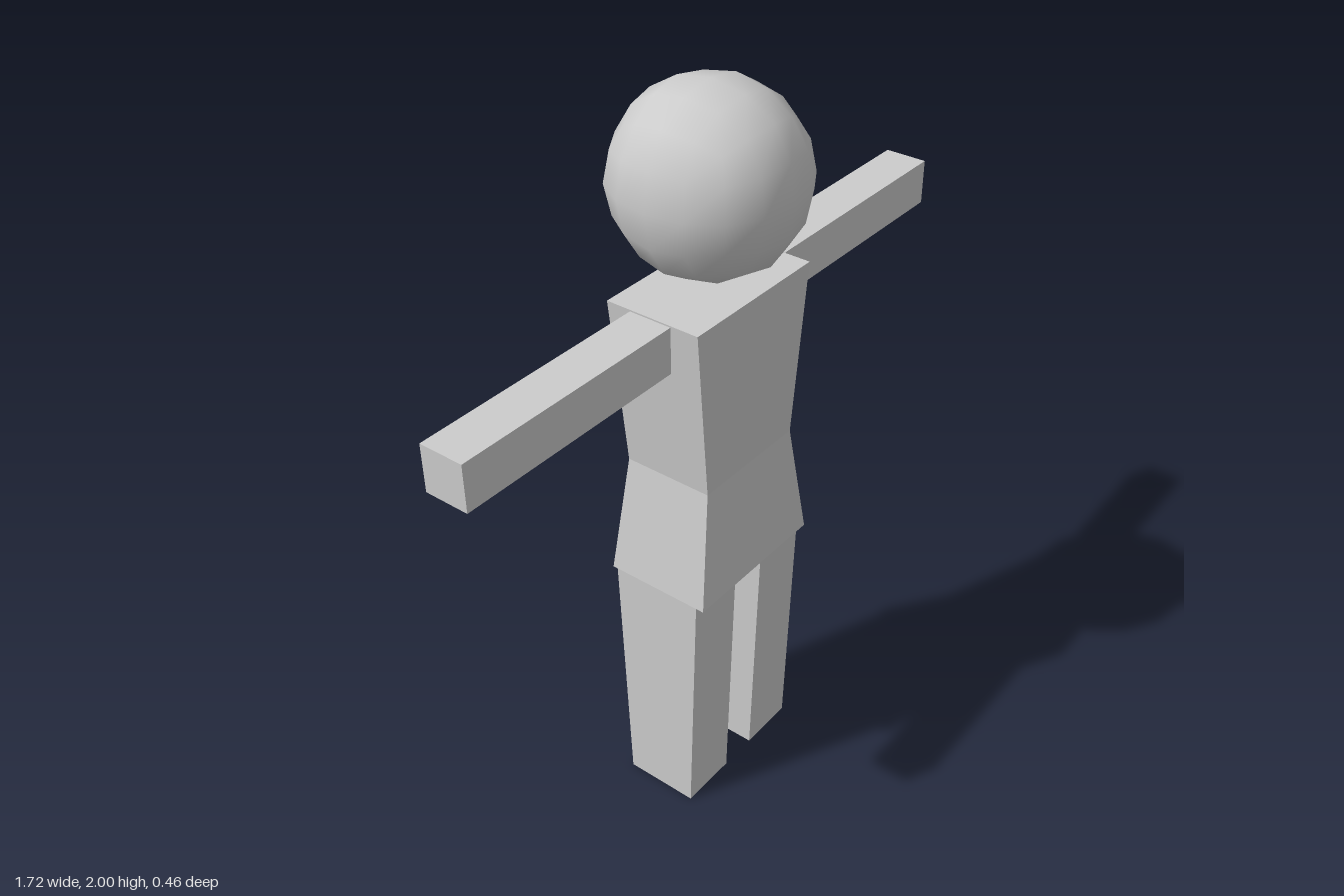
import * as THREE from 'three';
import { mergeVertices } from 'three/addons/utils/BufferGeometryUtils.js';

const grey = new THREE.MeshStandardMaterial({ color: 0xcccccc });
const greyFlat = new THREE.MeshStandardMaterial({ color: 0xcccccc, flatShading: true });

function addMesh(parent, name, geometry, material = greyFlat) {
  const mesh = new THREE.Mesh(geometry, material);
  mesh.name = name;
  parent.add(mesh);
  return mesh;
}

// Box whose bottom and top rectangles differ: each is { y, x: half-width, z: half-depth }
function taperedBox(bottom, top) {
  const geometry = new THREE.BoxGeometry(2, 2, 2);
  const p = geometry.attributes.position;
  for (let i = 0; i < p.count; i++) {
    const s = p.getY(i) > 0 ? top : bottom;
    p.setXYZ(i, p.getX(i) * s.x, s.y, p.getZ(i) * s.z);
  }
  geometry.computeVertexNormals();
  return geometry;
}

// Cube smoothed by two subdivision steps. A grid point is classed by how many of its
// coordinates lie on the cube's boundary (full) and how many lie halfway (half).
function smoothedCube(radius) {
  const rules = {
    '1,0': [0.8785, 0], '1,1': [0.8194, 0.3507], '1,2': [0.7639, 0.3264],
    '2,0': [0.643, 0], '2,1': [0.599, 0.302], '3,0': [0.509, 0],
  };
  let geometry = new THREE.BoxGeometry(2, 2, 2, 4, 4, 4);
  geometry.deleteAttribute('uv');
  geometry.deleteAttribute('normal');
  geometry = mergeVertices(geometry);
  const p = geometry.attributes.position;
  for (let i = 0; i < p.count; i++) {
    const c = [p.getX(i), p.getY(i), p.getZ(i)];
    const isFull = (v) => Math.abs(v) > 0.9;
    const isHalf = (v) => Math.abs(v) > 0.4 && !isFull(v);
    const [full, half] = rules[`${c.filter(isFull).length},${c.filter(isHalf).length}`];
    const k = radius / 0.8785;
    p.setXYZ(i, ...c.map((v) => Math.sign(v) * k * (isFull(v) ? full : isHalf(v) ? half : 0)));
  }
  geometry.computeVertexNormals();
  return geometry;
}

export function createModel() {
  const model = new THREE.Group();
  model.name = 'figure';

  // Head floats just above the shoulders
  addMesh(model, 'head', smoothedCube(0.23), grey).position.y = 1.77;

  // Chest and hips meet at a narrow waist
  const waist = { y: 1.045, x: 0.17, z: 0.122 };
  addMesh(model, 'chest', taperedBox(waist, { y: 1.51, x: 0.215, z: 0.13 }));
  addMesh(model, 'hips', taperedBox({ y: 0.72, x: 0.22, z: 0.146 }, waist));

  // Mirrored limbs
  for (const [side, s] of [['left', 1], ['right', -1]]) {
    const arm = addMesh(model, `${side}Arm`, new THREE.BoxGeometry(0.64, 0.12, 0.116));
    arm.position.set(s * 0.54, 1.45, 0);

    const leg = addMesh(model, `${side}Leg`, taperedBox(
      { y: 0, x: 0.082, z: 0.104 }, { y: 0.72, x: 0.082, z: 0.128 }));
    leg.position.set(s * 0.137, 0, -0.005);
  }
  return model;
}
